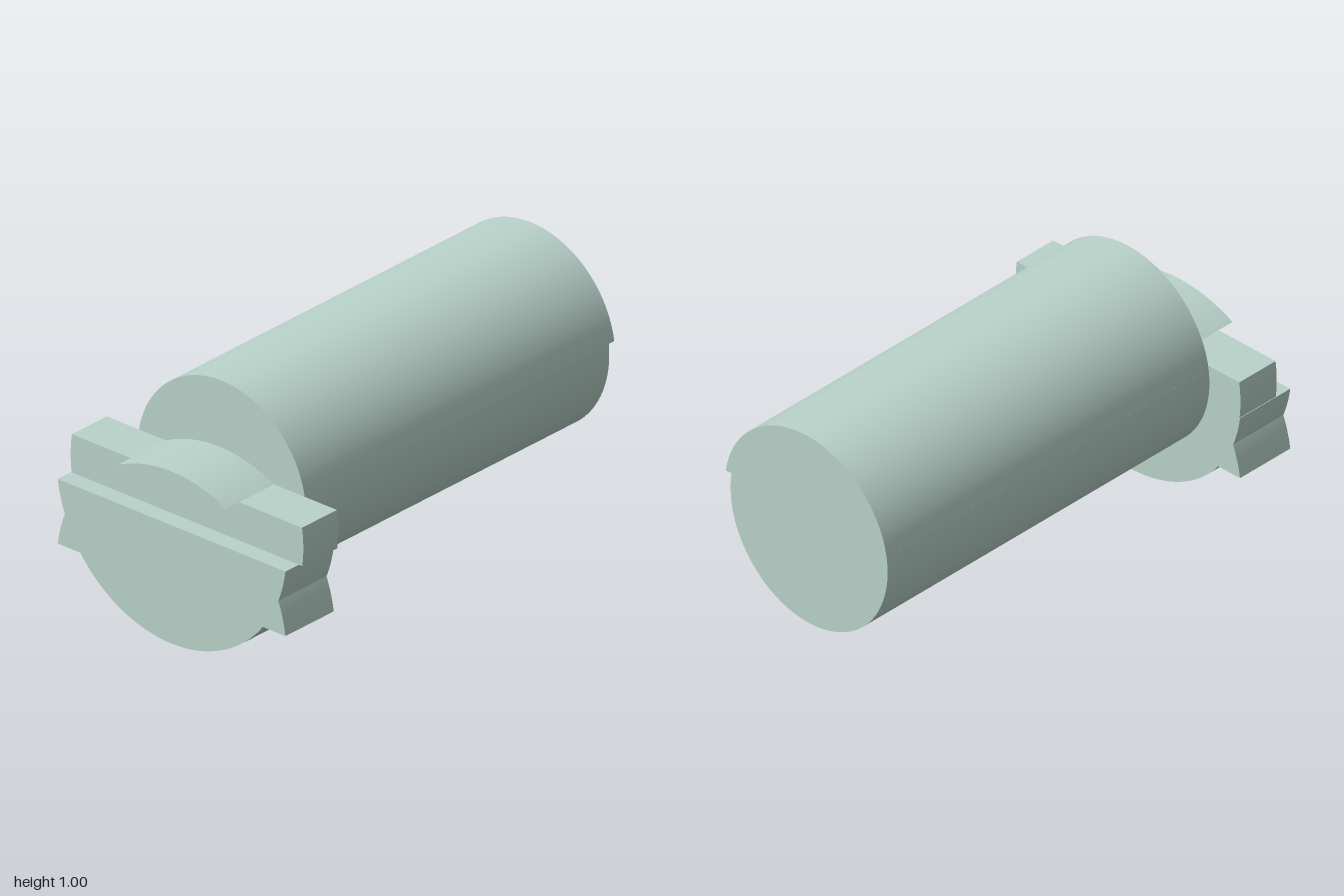
import * as THREE from 'three';
import { toCreasedNormals } from 'three/addons/utils/BufferGeometryUtils.js';

const BACK = -1, SEAT = 0.73, SLOT = 0.925, FRONT = 1;

// Points along an elliptical arc, angles in radians
function arc(cx, cy, rx, ry, a0, a1, n) {
  return Array.from({ length: n + 1 }, (_, i) => {
    const a = a0 + ((a1 - a0) * i) / n;
    return new THREE.Vector2(cx + rx * Math.cos(a), cy + ry * Math.sin(a));
  });
}

function prism(name, points, z0, z1, material) {
  const geometry = new THREE.ExtrudeGeometry(new THREE.Shape(points), { depth: z1 - z0, bevelEnabled: false });
  geometry.translate(0, 0, z0);
  const mesh = new THREE.Mesh(toCreasedNormals(geometry, 0.4), material);
  mesh.name = name;
  return mesh;
}

export function createModel() {
  const model = new THREE.Group();
  model.name = 'slottedPin';
  const material = new THREE.MeshStandardMaterial({ color: 0xcccccc });
  material.color.set(0xb9d3ca);

  // Barrel: round upper part, lower part slightly inset on one side
  const lift = Math.asin(0.065 / 0.42);
  const barrel = [
    ...arc(0, 0.58, 0.42, 0.42, lift, Math.PI - lift, 48),
    ...arc(-0.015, 0.58, 0.405, 0.42, Math.PI - lift, 2 * Math.PI + lift, 56),
  ];
  model.add(prism('barrel', barrel, BACK, SEAT, material));

  // Lower head: round disc with a pair of notched ears
  const cx = -0.01, cy = 0.573, r = 0.573;
  const angleAt = (y) => Math.asin((y - cy) / r);
  const flank = arc(cx, cy, r, r, angleAt(0.36), angleAt(0.495), 8);
  const ear = flank.map((p) => new THREE.Vector2(p.x, 0.72 - p.y)).reverse();
  const rightSide = [...ear, ...flank.slice(1)];
  const leftSide = rightSide.map((p) => new THREE.Vector2(2 * cx - p.x, p.y)).reverse();
  const bottom = arc(cx, cy, r, r, Math.PI - angleAt(0.225), 2 * Math.PI + angleAt(0.225), 48);
  model.add(prism('lowerHead', [...bottom, ...rightSide, ...leftSide], SEAT, FRONT, material));

  // Recessed cross bar forming the floor of the slot
  const low = Math.asin((0.495 - 0.57) / 0.58), high = Math.asin((0.655 - 0.57) / 0.58);
  const bar = [
    ...arc(0, 0.57, 0.58, 0.58, low, high, 8),
    ...arc(0, 0.57, 0.58, 0.58, Math.PI - high, Math.PI - low, 8),
  ];
  model.add(prism('slotBar', bar, SEAT, SLOT, material));

  // Shallow cap above the slot
  const capR = (0.27 ** 2 + 0.065 ** 2) / (2 * 0.065);
  const half = Math.asin(0.27 / capR);
  const cap = arc(cx, 0.72 - capR, capR, capR, Math.PI / 2 - half, Math.PI / 2 + half, 20);
  model.add(prism('headCap', cap, SEAT, FRONT, material));

  return model;
}
